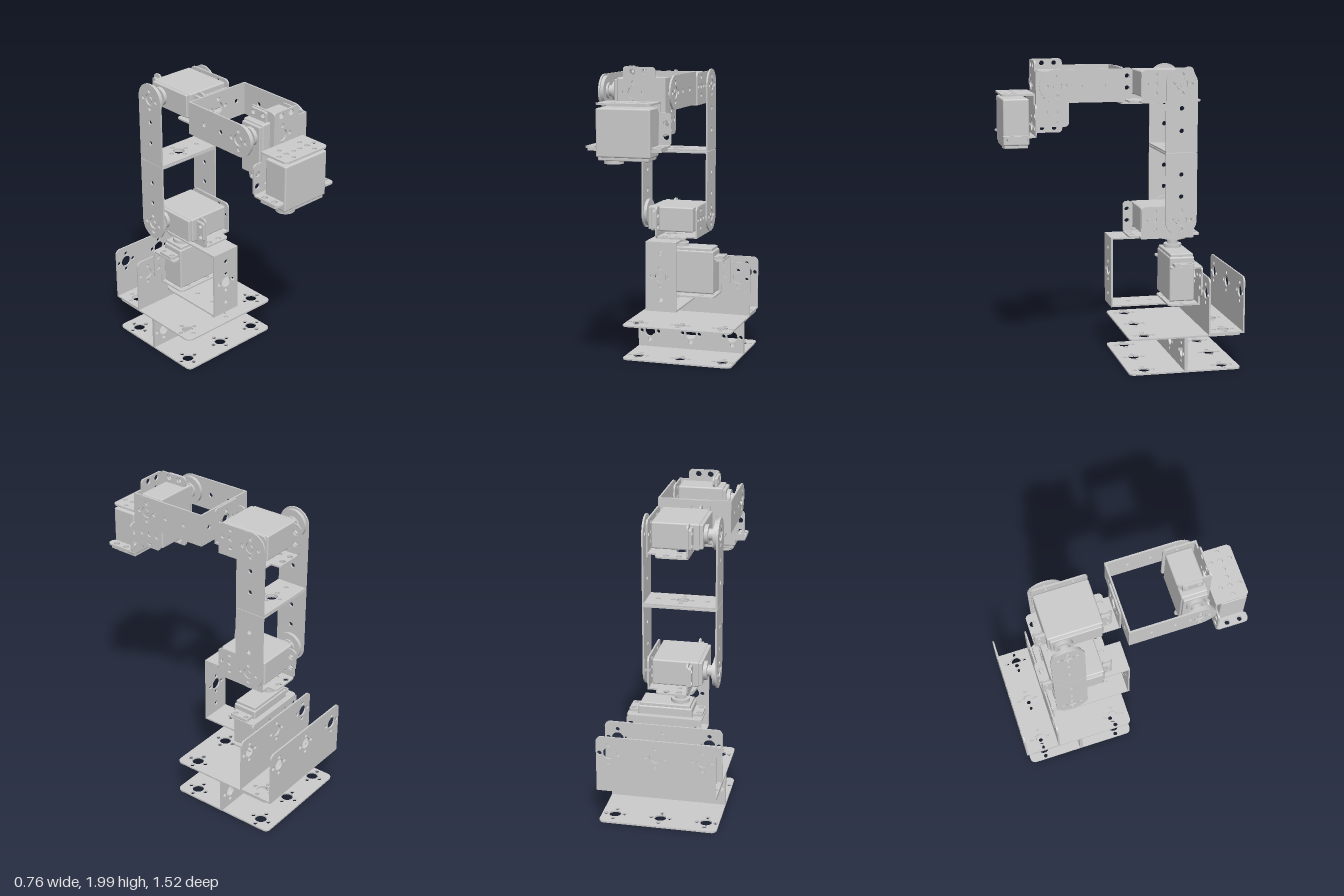
import * as THREE from 'three';
import { RoundedBoxGeometry } from 'three/addons/geometries/RoundedBoxGeometry.js';

const T = 0.011; // sheet metal thickness
const material = new THREE.MeshStandardMaterial({ color: 0xcccccc });
const V = (x, y, z) => new THREE.Vector3(x, y, z);
const X = V(1, 0, 0), Y = V(0, 1, 0), Z = V(0, 0, 1);

function add(parent, name, geometry) {
  const mesh = new THREE.Mesh(geometry, material);
  mesh.name = name;
  parent.add(mesh);
  return mesh;
}

// Outline of [x, y, cornerRadius] points, all with right-angled corners
function outline(pts) {
  const shape = new THREE.Shape();
  pts.forEach(([x, y, r = 0], i) => {
    const c = new THREE.Vector2(x, y);
    const toward = (p, d) => new THREE.Vector2(p[0], p[1]).sub(c).setLength(d).add(c);
    const prev = pts[(i + pts.length - 1) % pts.length], next = pts[(i + 1) % pts.length];
    const a = r ? toward(prev, r) : c, b = r ? toward(next, r) : c;
    if (i === 0) shape.moveTo(a.x, a.y); else shape.lineTo(a.x, a.y);
    if (r) {
      const a2 = toward(prev, r * 0.448), b2 = toward(next, r * 0.448);
      shape.bezierCurveTo(a2.x, a2.y, b2.x, b2.y, b.x, b.y);
    }
  });
  shape.closePath();
  return shape;
}

// Drilled sheet whose outline lies in the u, v plane and whose thickness runs along u x v
function plate(parent, name, pts, holes, origin, u, v) {
  const shape = outline(pts);
  for (const [x, y, r] of holes) {
    shape.holes.push(new THREE.Path().absarc(x, y, r, 0, Math.PI * 2, true));
  }
  const geometry = new THREE.ExtrudeGeometry(shape, { depth: T, bevelEnabled: false, curveSegments: 10 });
  const basis = new THREE.Matrix4().makeBasis(u, v, u.clone().cross(v)).setPosition(origin);
  return add(parent, name, geometry.applyMatrix4(basis));
}

const rect = (x0, x1, y0, y1, r0, r1) => [[x0, y0, r0], [x1, y0, r1], [x1, y1, r1], [x0, y1, r0]];

// Large hole with four small ones round it
const hub = (x, y, r = 0.038, d = 0.06) => [[x, y, r],
  ...[[d, 0], [-d, 0], [0, d], [0, -d]].map(([a, b]) => [x + a, y + b, 0.014])];

// Wide base channel, opening toward local +y
function channel(name) {
  const g = new THREE.Group();
  g.name = name;
  const xs = [-0.295, 0, 0.295];
  plate(g, 'channelWeb', rect(-0.12, 0.12, -0.378, 0.378, 0, 0),
    xs.flatMap(x => hub(0, x)), V(0, 0, 0), Z, X);
  const wall = [[-0.378, 0], [0.378, 0], [0.378, 0.37, 0.035], [-0.378, 0.37, 0.035]];
  for (const z of [-0.12, 0.12 - T]) {
    plate(g, 'channelWall', wall, xs.flatMap(x => hub(x, 0.26)), V(0, 0, z), X, Y);
  }
  return g;
}

// Long U arm: local origin on the joint axis (x), web toward +y
function armBracket(name) {
  const g = new THREE.Group();
  g.name = name;
  const side = rect(-0.105, 0.44, -0.105, 0.105, 0.1049, 0);
  for (const x of [-0.33, 0.135 - T]) {
    plate(g, 'armSide', side, [...hub(0, 0), [0.155, 0, 0.015], [0.3, 0, 0.015]], V(x, 0, 0), Y, Z);
  }
  const c = -0.0975;
  plate(g, 'armWeb', rect(-0.105, 0.105, -0.33, 0.135, 0, 0),
    [...hub(0, c), [0, c - 0.155, 0.015], [0, c + 0.155, 0.015]], V(0, 0.44 - T, 0), Z, X);
  return g;
}

// Servo holder and servo: shaft along -x, base plate at y = 0, long side along z
function servoUnit(name, side, hasHorn) {
  const g = new THREE.Group();
  g.name = name;
  const e = 0.24, m = 0.175, r = 0.025;

  // Bent holder plates
  plate(g, 'holderBase',
    [[-0.16, -e, r], [0.045, -e, r], [0.045, -m], [0.11, -m], [0.11, m], [0.045, m], [0.045, e, r], [-0.16, e, r]],
    [...hub(-0.0925, -0.085), ...hub(-0.0925, 0.085),
      ...[-0.21, 0.21].flatMap(z => [[-0.1, z, 0.019], [-0.02, z, 0.019]])], V(0, 0, 0), X, Z);
  plate(g, 'holderEars',
    [[-T, -e, r], [0.2, -e, r], [0.2, -m, r], [0.025, -m], [0.025, m], [0.2, m, r], [0.2, e, r], [-T, e, r]],
    [-0.212, 0.212].flatMap(z => [[0.065, z, 0.019], [0.143, z, 0.019]]), V(-0.16, 0, 0), Y, Z);
  plate(g, 'holderBack', rect(-T, 0.2, -m, m, 0, 0.03),
    [...hub(0.11, -0.085, 0.016), ...hub(0.11, 0.085, 0.016)], V(0.11 - T, 0, 0), Y, Z);

  // Servo case, lid and mounting ears
  const box = (part, x0, x1, h, l, radius) =>
    add(g, part, new RoundedBoxGeometry(x1 - x0, h, l, 2, radius)).position.set((x0 + x1) / 2, 0.11, 0);
  box('servoCase', -0.215, 0.08, 0.166, 0.344, 0.01);
  box('servoLid', -0.235, -0.21, 0.152, 0.32, 0.006);
  for (const s of [-1, 1]) {
    const ear = outline(rect(0.045, 0.175, 0.165, 0.235, 0.012, 0.012));
    for (const y of [0.07, 0.15]) ear.holes.push(new THREE.Path().absarc(y, 0.21, 0.016, 0, Math.PI * 2, true));
    const geo = new THREE.ExtrudeGeometry(ear, { depth: 0.018, bevelEnabled: false, curveSegments: 8 });
    // Half-turn about the shaft direction gives the opposite ear
    geo.applyMatrix4(new THREE.Matrix4().makeBasis(Y, Z, X).setPosition(-0.178, 0, 0));
    if (s < 0) geo.translate(0, -0.11, 0).rotateX(Math.PI).translate(0, 0.11, 0);
    add(g, 'servoEar', geo);
  }

  // Output shaft, horn and rear pivot share the joint axis
  const turned = (part, x0, x1, radius) => {
    const geo = new THREE.CylinderGeometry(radius, radius, x1 - x0, 32).rotateZ(Math.PI / 2);
    add(g, part, geo).position.set((x0 + x1) / 2, 0.11, side * 0.085);
  };
  turned('shaftBoss', -0.258, -0.23, 0.06);
  if (hasHorn) {
    turned('outputShaft', -0.3, -0.25, 0.036);
    turned('hornHub', -0.305, -0.285, 0.05);
    turned('hornDisc', -0.319, -0.298, 0.092);
    turned('hornScrew', -0.328, -0.315, 0.016);
    turned('rearPivot', 0.108, 0.13, 0.036);
    turned('rearScrew', 0.128, 0.137, 0.015);
  }
  return g;
}

export function createModel() {
  const model = new THREE.Group();
  model.name = 'robotArm';
  const place = (part, origin, u = X, v = Y) => {
    part.applyMatrix4(new THREE.Matrix4().makeBasis(u, v, u.clone().cross(v)).setPosition(origin));
    model.add(part);
  };
  const down = Y.clone().negate(), back = Z.clone().negate();

  // Base: two channels back to back, a third standing open upward
  place(channel('frontBaseChannel'), V(0, 0.125, -0.366), X, Z);
  place(channel('rearBaseChannel'), V(0, 0.125, -0.366), X, back);
  place(channel('upperBaseChannel'), V(0, 0.245, -0.635));

  // Turning joint
  place(servoUnit('turnServo', 1, true), V(0, 0.505, -0.5), down, Z);
  place(armBracket('turnBracket'), V(-0.085, 0.505, -0.39), down, Z);

  // Shoulder and elbow with the two upright arms
  place(servoUnit('shoulderServo', -1, true), V(0, 0.847, -0.305));
  place(armBracket('lowerArm'), V(0, 0.957, -0.39));
  place(armBracket('upperArm'), V(0, 1.84, -0.39), X, down);
  place(servoUnit('elbowServo', -1, true), V(0, 1.73, -0.305));

  // Angle plate joining the elbow to the forearm
  const angle = new THREE.Group();
  angle.name = 'elbowAngle';
  plate(angle, 'angleFoot', rect(-0.28, -0.02, -0.2, 0.01, 0.02, 0), hub(-0.22, -0.0925), V(0, 1.708, 0), Z, X);
  plate(angle, 'angleUpright', rect(-0.2, 0.01, 1.708, 1.945, 0, 0.02), hub(-0.0925, 1.84), V(0, 0, -0.031), X, Y);
  model.add(angle);

  // Forearm and wrist
  place(armBracket('forearm'), V(0, 1.84, 0.425), X, back);
  place(servoUnit('wristServo', 1, true), V(0, 1.757, 0.539), X, back);
  place(servoUnit('toolServo', -1, false), V(-0.0925, 1.68, 0.561), Y, Z);
  return model;
}
